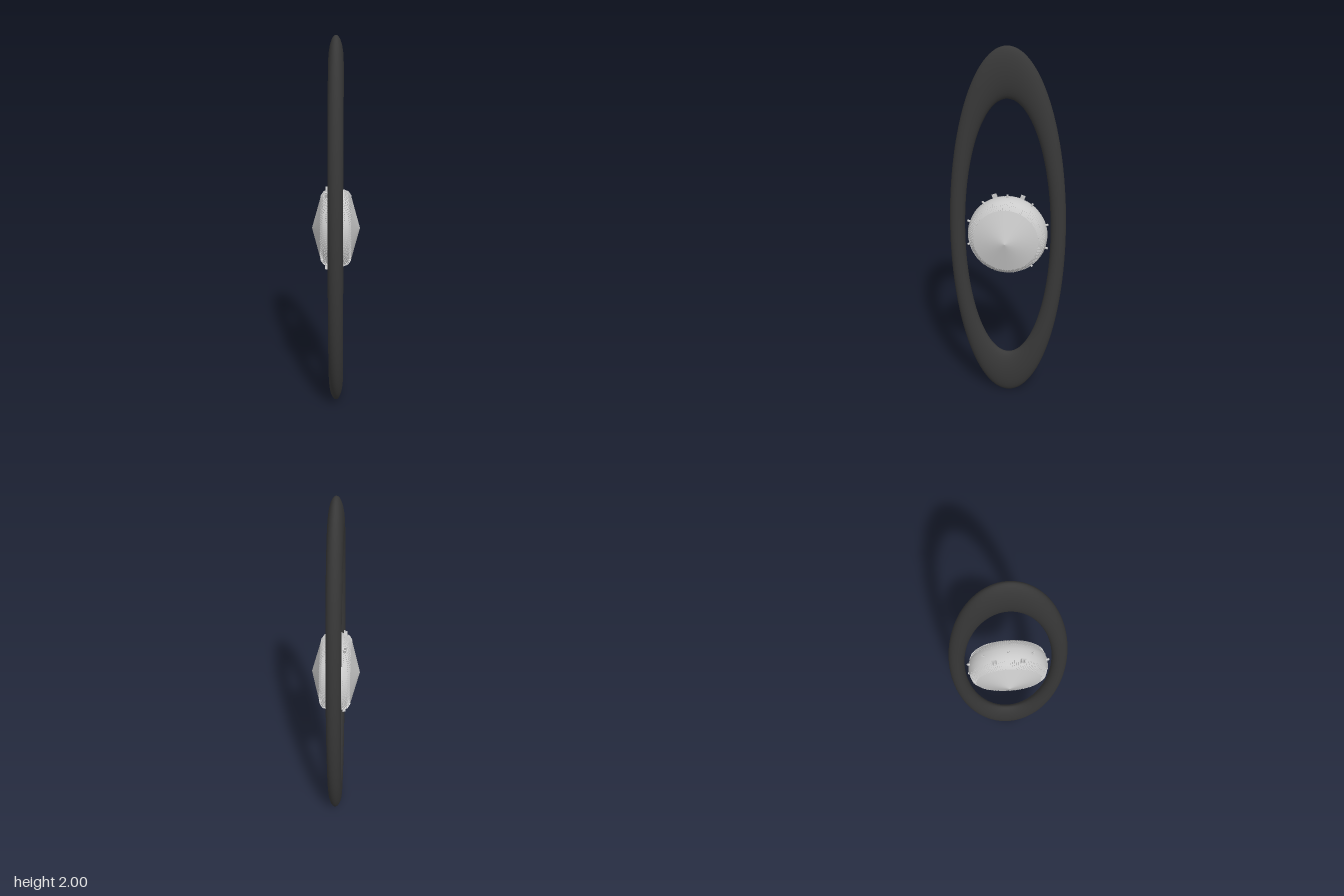
import * as THREE from 'three';

const grey = new THREE.MeshStandardMaterial({ color: 0xcccccc });
const dark = new THREE.MeshStandardMaterial({ color: 0x383838 });

function part(parent, name, geometry, material) {
  const mesh = new THREE.Mesh(geometry, material);
  mesh.name = name;
  parent.add(mesh);
  return mesh;
}

// Surface of revolution about the x axis from [x, radius] pairs, x ascending
function latheX(points) {
  const profile = points.map(([x, r]) => new THREE.Vector2(r, x));
  return new THREE.LatheGeometry(profile, 80).rotateZ(-Math.PI / 2);
}

// A group turned about x, so that its +y points outwards at that angle
function spoke(parent, name, angle) {
  const group = new THREE.Group();
  group.name = name;
  group.rotation.x = angle;
  parent.add(group);
  return group;
}

export function createModel() {
  const model = new THREE.Group();

  // Tall oval ring, thickest at top and bottom
  const ring = part(model, 'ovalRing',
    new THREE.TorusGeometry(0.87, 0.13, 32, 128).rotateY(Math.PI / 2), dark);
  ring.scale.set(0.3, 1, 0.31);
  ring.position.y = 1;

  const core = new THREE.Group();
  core.name = 'core';
  core.position.y = 1;
  model.add(core);

  // Rounded drum with a shallow cone on either face
  part(core, 'drum', latheX([
    [-0.08, 0.172], [-0.065, 0.194], [-0.04, 0.204], [-0.018, 0.212],
    [0.018, 0.212], [0.04, 0.204], [0.065, 0.194], [0.08, 0.172],
  ]), grey);
  part(core, 'leftCone', latheX([[0.08, 0.172], [0.128, 0]]), grey);
  part(core, 'rightCone', latheX([[-0.128, 0], [-0.08, 0.172]]), grey);

  // Fine slats around both shoulders of the drum
  const slatGeometry = new THREE.BoxGeometry(0.03, 0.004, 0.002);
  const slopes = [[0.053, 0.1985, -0.38], [0.0725, 0.183, -0.97]];
  const slatCount = 120;
  for (const side of [-1, 1]) {
    for (const [x, r, tilt] of slopes) {
      const slats = new THREE.InstancedMesh(slatGeometry, grey, slatCount);
      const dummy = new THREE.Object3D();
      for (let i = 0; i < slatCount; i++) {
        const a = (i / slatCount) * Math.PI * 2;
        dummy.position.set(side * x, Math.cos(a) * r, Math.sin(a) * r);
        dummy.rotation.set(a, 0, side * tilt);
        dummy.scale.x = 0.85;
        dummy.updateMatrix();
        slats.setMatrixAt(i, dummy.matrix);
      }
      slats.name = side > 0 ? 'leftSlats' : 'rightSlats';
      core.add(slats);
    }
  }

  // Small studs around the middle of the drum
  const studGeometry = new THREE.CylinderGeometry(0.006, 0.006, 0.03, 10);
  for (let i = 0; i < 10; i++) {
    const group = spoke(core, 'studMount', (i / 10) * Math.PI * 2);
    part(group, 'stud', studGeometry, grey).position.y = 0.212;
  }

  // Pronged clips on the right-hand shoulder
  for (const angle of [-0.36, 0.36, Math.PI - 0.36, Math.PI + 0.36]) {
    const clip = spoke(core, 'clip', angle);
    part(clip, 'clipBase', new THREE.BoxGeometry(0.006, 0.03, 0.024), grey)
      .position.set(-0.042, 0.21, 0);
    for (const z of [-0.008, 0.008]) {
      part(clip, 'clipProng', new THREE.BoxGeometry(0.014, 0.024, 0.006), grey)
        .position.set(-0.049, 0.209, z);
    }
  }

  return model;
}
